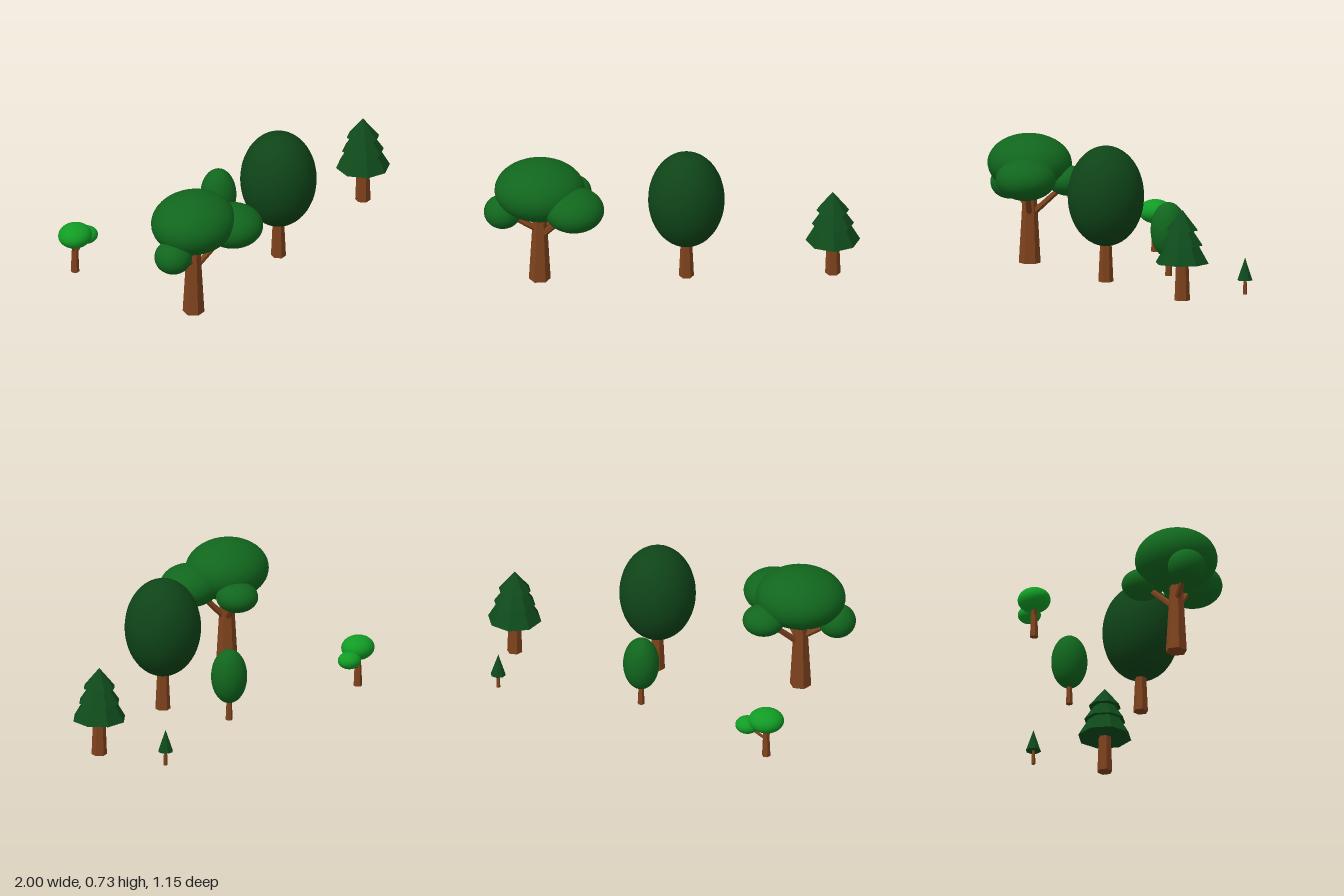
import * as THREE from 'three';

const paint = (color, flatShading = false) => new THREE.MeshStandardMaterial({ color, flatShading });
const bark = paint(0x7f431d, true);
const midGreen = paint(0x11661d);
const darkGreen = paint(0x0f4418);
const pineGreen = paint(0x0f4a1b, true);
const brightGreen = paint(0x119c25);

function add(parent, name, geometry, material) {
  const mesh = new THREE.Mesh(geometry, material);
  mesh.name = name;
  parent.add(mesh);
  return mesh;
}

// Six-sided tapered trunk standing on the ground
function trunk(tree, rBottom, rTop, height) {
  const geo = new THREE.CylinderGeometry(rTop, rBottom, height, 6);
  geo.rotateY(Math.PI / 6).translate(0, height / 2, 0);
  add(tree, 'trunk', geo, bark);
}

// Tapered branch between two points
function branch(tree, from, to, rBottom, rTop) {
  const a = new THREE.Vector3(...from);
  const dir = new THREE.Vector3(...to).sub(a);
  const length = dir.length();
  const geo = new THREE.CylinderGeometry(rTop, rBottom, length, 6).translate(0, length / 2, 0);
  const mesh = add(tree, 'branch', geo, bark);
  mesh.position.copy(a);
  mesh.quaternion.setFromUnitVectors(new THREE.Vector3(0, 1, 0), dir.normalize());
}

// Ellipsoid of leaves
function foliage(tree, centre, radii, material) {
  const mesh = add(tree, 'foliage', new THREE.SphereGeometry(1, 40, 28), material);
  mesh.position.set(...centre);
  mesh.scale.set(...radii);
}

// Cone tier of a conifer, given its base height
function tier(tree, radius, base, height) {
  const geo = new THREE.ConeGeometry(radius, height, 8).translate(0, base + height / 2, 0);
  add(tree, 'needleTier', geo, pineGreen);
}

export function createModel() {
  const model = new THREE.Group();
  model.name = 'trees';
  const plant = (name, x, z) => {
    const tree = new THREE.Group();
    tree.name = name;
    tree.position.set(x, 0, z);
    model.add(tree);
    return tree;
  };

  // Large spreading tree with three side clumps
  const broad = plant('spreadingTree', -0.703, 0.283);
  trunk(broad, 0.058, 0.034, 0.42);
  foliage(broad, [0, 0.534, 0], [0.24, 0.158, 0.218], midGreen);
  const clumps = [
    [[0.176, 0.478, 0.132], [0.16, 0.112, 0.16], 0.25],
    [[-0.197, 0.41, 0.007], [0.1, 0.09, 0.1], 0.29],
    [[0.168, 0.45, -0.141], [0.112, 0.08, 0.112], 0.25],
  ];
  for (const [centre, radii, start] of clumps) {
    foliage(broad, centre, radii, midGreen);
    branch(broad, [0, start, 0], centre, 0.018, 0.014);
  }

  // Tall oval tree
  const oval = plant('ovalTree', 0.075, 0.285);
  trunk(oval, 0.04, 0.026, 0.3);
  foliage(oval, [0, 0.459, 0], [0.203, 0.268, 0.203], darkGreen);

  // Three-tier conifer
  const pine = plant('conifer', 0.852, 0.285);
  trunk(pine, 0.041, 0.031, 0.26);
  tier(pine, 0.145, 0.2, 0.25);
  tier(pine, 0.112, 0.297, 0.165);
  tier(pine, 0.087, 0.377, 0.108);

  // Small spreading tree with one side clump
  const small = plant('smallSpreadingTree', -0.694, -0.492);
  trunk(small, 0.023, 0.015, 0.18);
  foliage(small, [0, 0.215, 0], [0.095, 0.064, 0.087], brightGreen);
  foliage(small, [0.103, 0.175, 0], [0.064, 0.045, 0.061], brightGreen);
  branch(small, [0, 0.1, 0], [0.1, 0.165, 0], 0.008, 0.006);
  branch(small, [0, 0.11, 0], [-0.045, 0.19, 0], 0.008, 0.006);

  // Small oval tree
  const smallOval = plant('smallOvalTree', 0.075, -0.105);
  trunk(smallOval, 0.019, 0.012, 0.15);
  foliage(smallOval, [0, 0.245, 0], [0.096, 0.149, 0.096], midGreen);

  // Conifer sapling
  const sapling = plant('coniferSapling', 0.852, -0.105);
  trunk(sapling, 0.011, 0.008, 0.1);
  tier(sapling, 0.041, 0.077, 0.121);

  return model;
}
